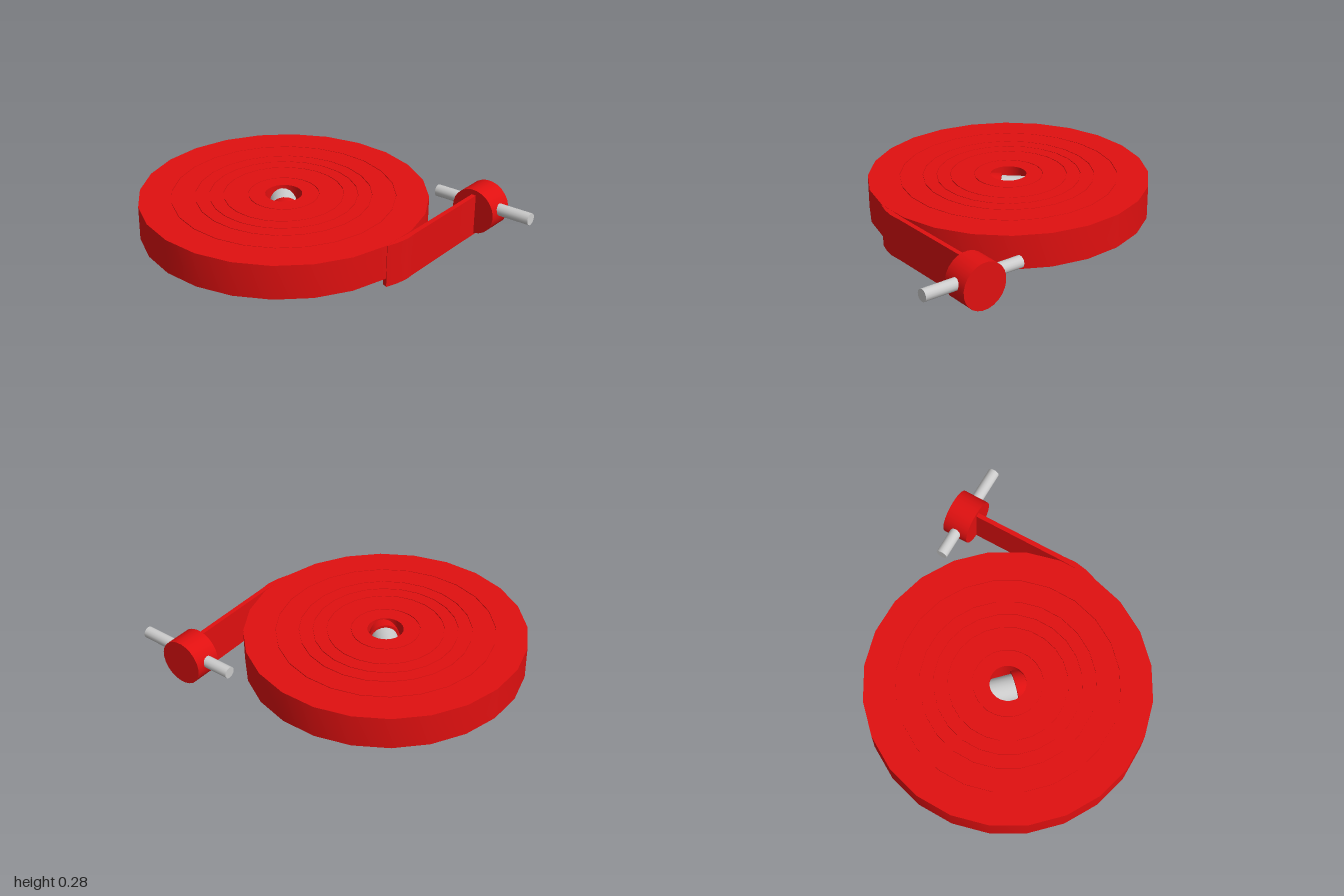
import * as THREE from 'three';
import { toCreasedNormals } from 'three/addons/utils/BufferGeometryUtils.js';

const red = new THREE.MeshStandardMaterial({ color: 0xe01010 });
const grey = new THREE.MeshStandardMaterial({ color: 0xcccccc });

function part(name, geometry, material, parent) {
  const mesh = new THREE.Mesh(toCreasedNormals(geometry, 0.6), material);
  mesh.name = name;
  parent.add(mesh);
  return mesh;
}

// Cylinder whose axis runs between two points
function rod(name, a, b, radius, sides, material, parent) {
  const from = new THREE.Vector3(...a), to = new THREE.Vector3(...b);
  const axis = to.clone().sub(from);
  const mesh = part(name, new THREE.CylinderGeometry(radius, radius, axis.length(), sides), material, parent);
  mesh.position.copy(from).add(to).multiplyScalar(0.5);
  mesh.quaternion.setFromUnitVectors(new THREE.Vector3(0, 1, 0), axis.normalize());
  return mesh;
}

export function createModel() {
  const model = new THREE.Group();
  model.name = 'coiledHose';

  // Flat coil with a centre hole and fine seams between the windings
  const bottom = 0.05, top = 0.25, hole = 0.105;
  const profile = [[hole, bottom], [0.82, bottom], [0.82, top]];
  for (const r of [0.635, 0.5, 0.42, 0.34, 0.2]) {
    profile.push([r + 0.002, top], [r + 0.002, top - 0.006], [r - 0.002, top - 0.006], [r - 0.002, top]);
  }
  profile.push([hole, top], [hole, bottom]);
  const coil = part('coil', new THREE.LatheGeometry(profile.map(p => new THREE.Vector2(...p)), 24), red, model);
  coil.position.x = -0.18;

  // Loose end of the hose leaving the coil
  const outline = [[0.035, 0.795], [0.1, 0.79], [0.17, 0.775], [0.24, 0.742], [0.79, 0.51],
    [0.78, 0.485], [0.23, 0.715], [0.15, 0.745], [0.035, 0.76]];
  const shape = new THREE.Shape(outline.map(([x, z]) => new THREE.Vector2(x, -z)));
  const tail = new THREE.ExtrudeGeometry(shape, { depth: 0.249, bevelEnabled: false });
  part('looseEnd', tail.rotateX(-Math.PI / 2), red, model);

  // Coupling on the loose end, with its cross bar
  const coupling = new THREE.Group();
  coupling.name = 'outerCoupling';
  model.add(coupling);
  rod('couplingBody', [0.766, 0.145, 0.505], [0.914, 0.145, 0.445], 0.135, 24, red, coupling);
  rod('crossBar', [0.725, 0.155, 0.205], [0.965, 0.175, 0.78], 0.035, 16, grey, coupling);

  // Coupling at the inner end, seen through the centre hole
  const inner = new THREE.Group();
  inner.name = 'innerCoupling';
  model.add(inner);
  rod('innerSpigot', [-0.14, 0.15, -0.1], [-0.2, 0.15, 0.05], 0.08, 20, grey, inner);
  rod('innerCollar', [-0.195, 0.15, 0.037], [-0.239, 0.15, 0.147], 0.095, 20, red, inner);

  return model;
}
